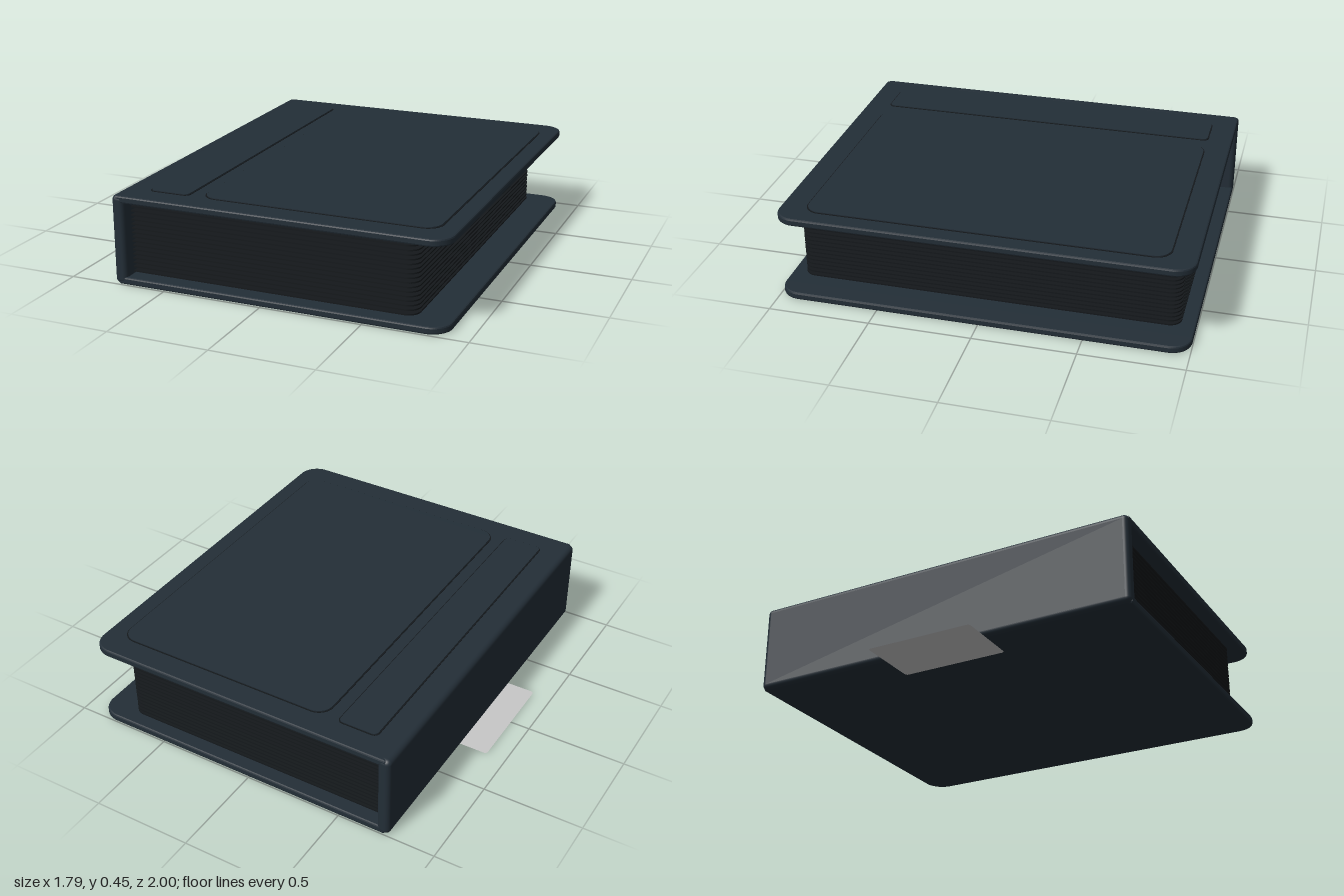
import * as THREE from 'three';
import { RoundedBoxGeometry } from 'three/addons/geometries/RoundedBoxGeometry.js';

const mat = (name, color, side = THREE.FrontSide) => {
  const m = new THREE.MeshStandardMaterial({ color, side });
  m.name = name;
  return m;
};

// Rectangle x0..x1, z0..z1 with its own radius on the left and right corners
function roundedRect(x0, x1, z0, z1, rl, rr) {
  const s = new THREE.Shape();
  s.moveTo(x0 + rl, z0);
  s.lineTo(x1 - rr, z0);
  if (rr) s.absarc(x1 - rr, z0 + rr, rr, -Math.PI / 2, 0);
  s.lineTo(x1, z1 - rr);
  if (rr) s.absarc(x1 - rr, z1 - rr, rr, 0, Math.PI / 2);
  s.lineTo(x0 + rl, z1);
  if (rl) s.absarc(x0 + rl, z1 - rl, rl, Math.PI / 2, Math.PI);
  s.lineTo(x0, z0 + rl);
  if (rl) s.absarc(x0 + rl, z0 + rl, rl, Math.PI, Math.PI * 1.5);
  return s;
}

// Horizontal slab from y0 up, with an optional bevelled rim kept inside the outline
function slab(shape, y0, height, bevel = 0) {
  const geo = new THREE.ExtrudeGeometry(shape, {
    depth: height - 2 * bevel, curveSegments: 10, bevelEnabled: bevel > 0,
    bevelSize: bevel, bevelThickness: bevel, bevelOffset: -bevel, bevelSegments: 2,
  });
  return geo.rotateX(-Math.PI / 2).translate(0, y0 + bevel, 0);
}

export function createModel() {
  const model = new THREE.Group();
  model.name = 'cardBinder';
  const leather = mat('slate cover', 0x232e37);
  const dark = mat('black sheet', 0x14181b);
  const grey = mat('grey label', 0xc8c8c8, THREE.DoubleSide);

  const add = (name, geo, material, parent = model) => {
    const mesh = new THREE.Mesh(geo, material);
    mesh.name = name;
    parent.add(mesh);
    return mesh;
  };

  // Covers and spine
  const cover = roundedRect(-0.74, 0.895, -0.998, 0.998, 0, 0.1);
  add('bottomCover', slab(cover, 0.002, 0.036, 0.008), leather);
  add('topCover', slab(cover, 0.408, 0.036, 0.008), leather);
  const spine = add('spine', new RoundedBoxGeometry(0.065, 0.443, 2, 4, 0.025), leather);
  spine.position.set(-0.7325, 0.2235, 0);

  // Raised panels on the top cover, each with a dark seam around it
  for (const [name, x0, x1, r] of [['stripPanel', -0.63, -0.42, 0.03], ['mainPanel', -0.36, 0.81, 0.08]]) {
    const z = 0.877, e = 0.006;
    add(name + 'Seam', slab(roundedRect(x0, x1, -z, z, r, r), 0.442, 0.004), dark);
    add(name, slab(roundedRect(x0 + e, x1 - e, -z + e, z - e, r - e, r - e), 0.443, 0.007), leather);
  }

  // Sheets with a three by three grid of pockets on both faces
  const sheetGeo = slab(roundedRect(-0.705, 0.735, -0.93, 0.93, 0, 0.06), -0.0035, 0.007);
  const pocketGeo = new THREE.BoxGeometry(0.428, 0.003, 0.585);
  const count = 17;
  for (let i = 0; i < count; i++) {
    const page = new THREE.Group();
    page.name = 'page';
    page.position.y = 0.05 + (i * 0.346) / (count - 1);
    add('sheet', sheetGeo, dark, page);
    for (const side of [-1, 1])
      for (let col = -1; col <= 1; col++)
        for (let row = -1; row <= 1; row++)
          add('pocket', pocketGeo, dark, page).position.set(0.037 + col * 0.443, side * 0.0065, row * 0.6);
    model.add(page);
  }

  // Flat label reaching out from beneath the spine
  const label = new THREE.ShapeGeometry(roundedRect(-0.9, -0.57, -0.272, 0.272, 0.015, 0.015), 4);
  add('label', label.rotateX(-Math.PI / 2), grey);

  return model;
}
